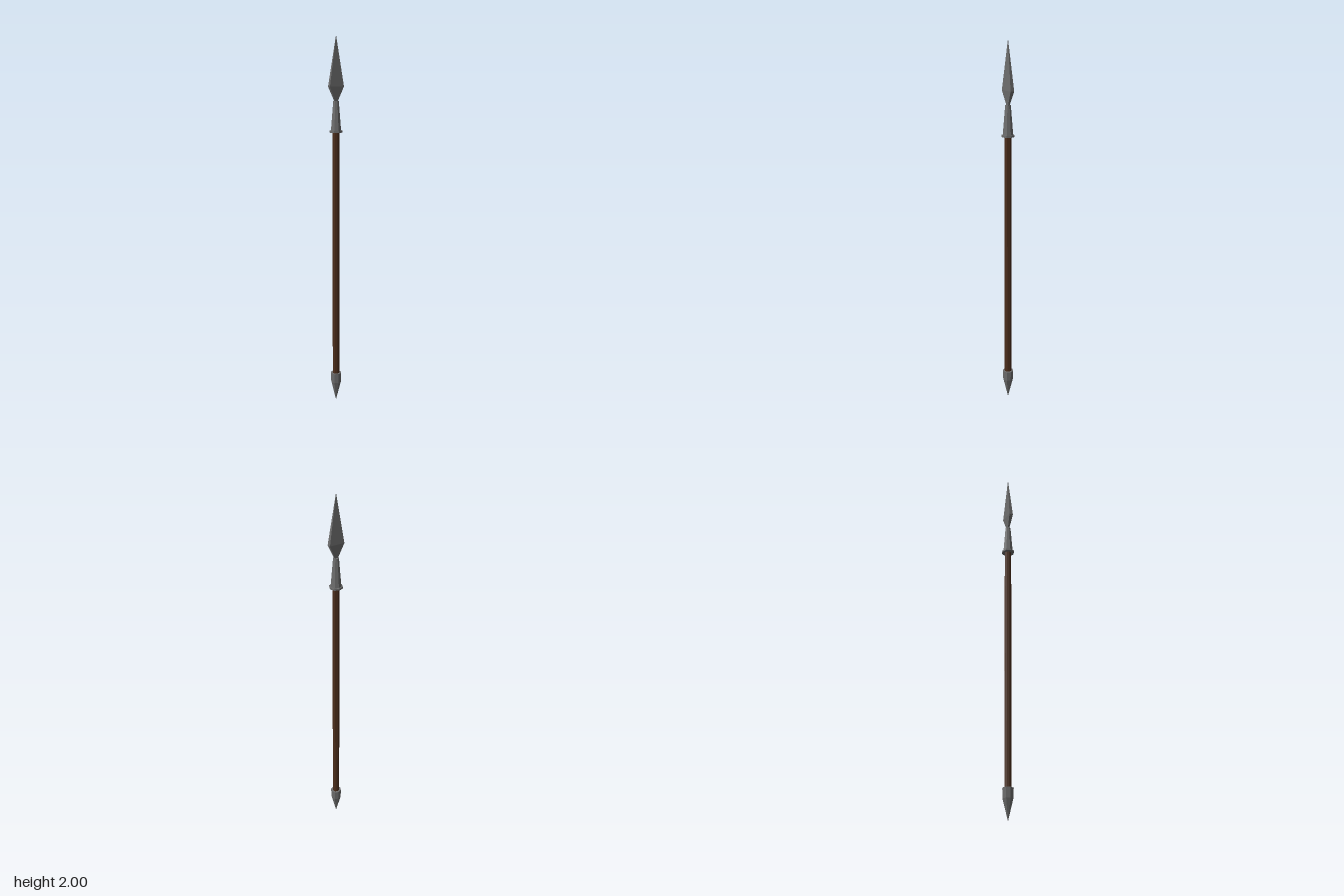
import * as THREE from 'three';

const metal = new THREE.MeshStandardMaterial({ color: 0x6c6c6c, flatShading: true });
const wood = new THREE.MeshStandardMaterial({ color: 0x4a2c1a, flatShading: true });

export function createModel() {
  const group = new THREE.Group();
  const add = (name, geometry, material) => {
    const mesh = new THREE.Mesh(geometry, material);
    mesh.name = name;
    group.add(mesh);
  };

  // Eight-sided turned part from a profile of [radius, y], bottom to top
  const turned = (name, profile, material) =>
    add(name, new THREE.LatheGeometry(profile.map(([r, y]) => new THREE.Vector2(r, y)), 8), material);

  turned('shaft', [[0, 0.15], [0.019, 0.15], [0.019, 1.52], [0, 1.52]], wood);
  turned('buttSpike', [[0, 0], [0.028, 0.11], [0.03, 0.163], [0, 0.163]], metal);
  turned('socketCollar', [[0, 1.503], [0.035, 1.503], [0.035, 1.513], [0, 1.513]], metal);
  turned('socket', [[0, 1.51], [0.028, 1.51], [0.015, 1.667], [0, 1.667]], metal);

  // Blade: rectangular sections [half width, half depth, y], narrowing to a point
  const sections = [[0.006, 0.004, 1.66], [0.041, 0.011, 1.74], [0, 0, 2]];
  const positions = [];
  const corners = [[-1, 1], [1, 1], [1, -1], [-1, -1]];
  for (const [w, d, y] of sections) {
    for (const [sx, sz] of corners) positions.push(sx * w, y, sz * d);
  }
  const index = [0, 2, 1, 0, 3, 2];
  for (let i = 0; i < 4; i++) {
    const j = (i + 1) % 4;
    index.push(i, j, 4 + j, i, 4 + j, 4 + i); // neck to shoulder
    index.push(4 + i, 4 + j, 8); // shoulder to tip
  }
  const blade = new THREE.BufferGeometry();
  blade.setAttribute('position', new THREE.Float32BufferAttribute(positions, 3));
  blade.setIndex(index);
  blade.computeVertexNormals();
  add('blade', blade, metal);

  return group;
}
